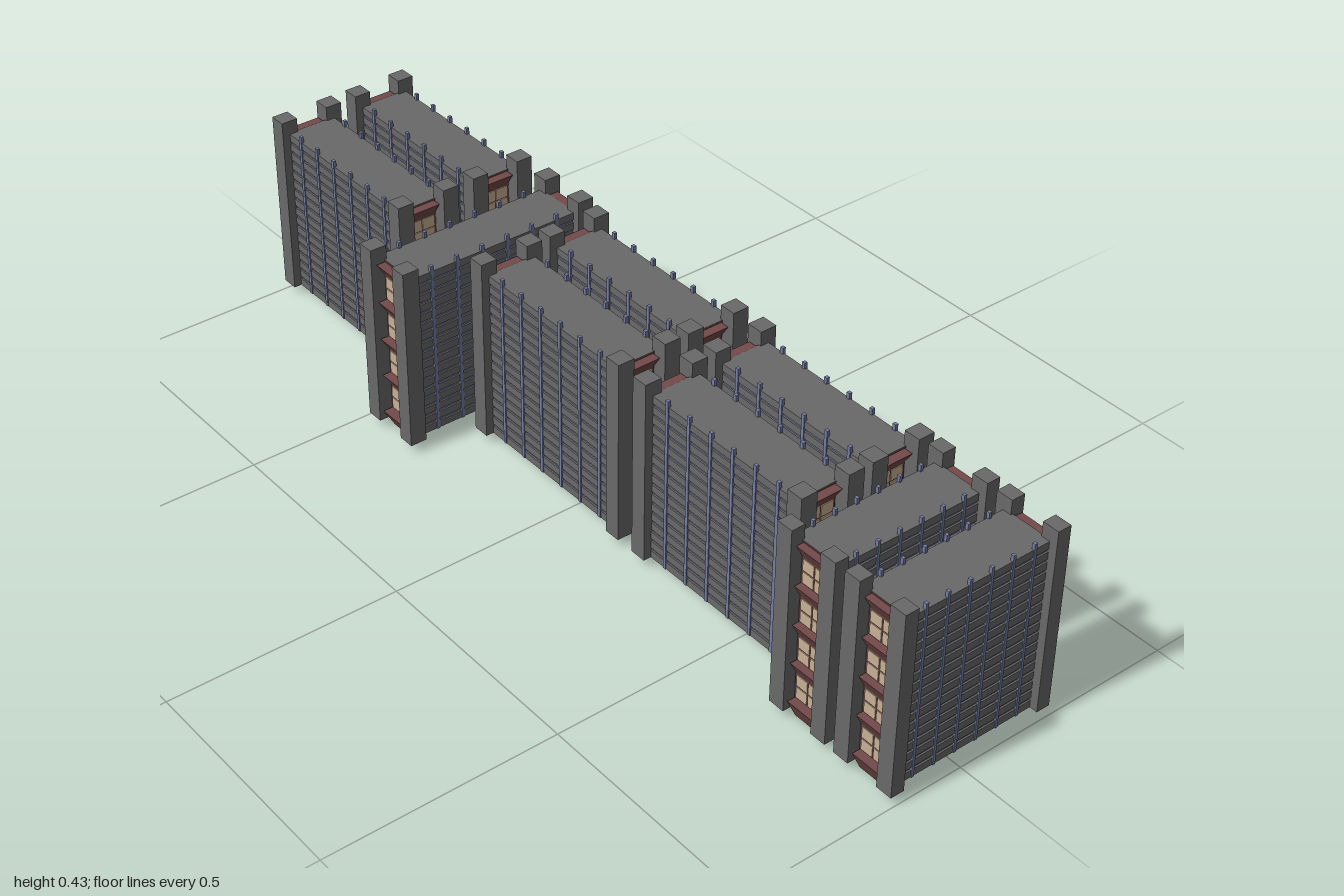
import * as THREE from 'three';

const mat = (name, color) => {
  const m = new THREE.MeshStandardMaterial({ color });
  m.name = name;
  return m;
};

export function createModel() {
  const concrete = mat('concrete grey', 0x696969);
  const glass = mat('blue glazing', 0x747ca2);
  const brick = mat('dark red brick', 0x744a4a);
  const pane = mat('beige window', 0xc8b094);

  const HALF_LEN = 0.2315, HALF_WID = 0.0735, PILLAR = 0.037;
  const BASE = 0.02, ROOF = 0.3965;

  const box = (parent, name, material, size, pos) => {
    const m = new THREE.Mesh(new THREE.BoxGeometry(...size), material);
    m.name = name;
    m.position.set(...pos);
    parent.add(m);
    return m;
  };

  // Inverted wedge ledge: flat top, sloping underside, flush back at x = 0
  const wedge = (height, depth) => {
    const s = new THREE.Shape();
    s.moveTo(0, 0);
    s.lineTo(depth, -0.0);
    s.lineTo(0, -height);
    s.closePath();
    const g = new THREE.ExtrudeGeometry(s, { depth: 0.064, bevelEnabled: false });
    return g.translate(0, 0, -0.032);
  };
  const lowWedge = wedge(0.044, 0.025), highWedge = wedge(0.034, 0.022);

  // One end wall: brick backing, ledges and four-pane windows, facing +x
  function endWall() {
    const g = new THREE.Group();
    g.name = 'endWall';
    box(g, 'brickBacking', brick, [0.004, ROOF - BASE - 0.002, 0.068], [0.2, (ROOF + BASE) / 2, 0]);
    for (let i = 0; i < 5; i++) {
      const top = 0.044 + i * 0.0875;
      const ledge = new THREE.Mesh(i ? highWedge : lowWedge, brick);
      ledge.name = 'ledge';
      ledge.position.set(0.2, top, 0);
      g.add(ledge);
      if (i === 4) continue;
      for (const r of [0, 1]) for (const s of [-1, 1]) {
        box(g, 'windowPane', pane, [0.004, 0.0245, 0.028],
          [0.202, top + 0.0145 + r * 0.0275, s * 0.0155]);
      }
    }
    return g;
  }

  // One slab block, its length along x
  function block() {
    const g = new THREE.Group();
    // Glazed core
    box(g, 'glazedCore', glass, [0.39, ROOF - BASE - 0.006, 0.105], [0, (ROOF + BASE) / 2, 0]);
    // Stacked floor bands
    for (let i = 0; i < 17; i++) {
      box(g, 'floorBand', concrete, [0.4, 0.0165, 0.112], [0, BASE + 0.00825 + i * 0.0225, 0]);
    }
    // Vertical rods rising above the roof
    for (const s of [-1, 1]) for (let i = 0; i < 6; i++) {
      box(g, 'facadeRod', glass, [0.0075, 0.39, 0.007], [(i - 2.5) * 0.061, BASE + 0.195, s * 0.0545]);
    }
    // Corner pillars
    for (const sx of [-1, 1]) for (const sz of [-1, 1]) {
      box(g, 'cornerPillar', concrete, [PILLAR, 0.408, PILLAR],
        [sx * (HALF_LEN - PILLAR / 2), BASE + 0.204, sz * (HALF_WID - PILLAR / 2)]);
    }
    // End walls
    const a = endWall(), b = endWall();
    b.rotation.y = Math.PI;
    g.add(a, b);
    return g;
  }

  // Site layout: x, z, turned a quarter, length scale
  const layout = [
    [-0.77, -0.157, false, 1], [-0.77, 0.027, false, 1],
    [-0.408, 0, true, 1],
    [-0.075, -0.147, false, 1], [-0.075, 0.019, false, 1],
    [0.43, -0.147, false, 1], [0.43, 0.019, false, 1],
    [0.753, -0.028, true, 0.826], [0.923, -0.028, true, 0.826],
  ];
  const model = new THREE.Group();
  model.name = 'apartmentBlocks';
  layout.forEach(([x, z, turned, scale], i) => {
    const b = block();
    b.name = `block${i + 1}`;
    b.position.set(x, 0, z);
    b.scale.x = scale;
    if (turned) b.rotation.y = Math.PI / 2;
    model.add(b);
  });
  return model;
}
